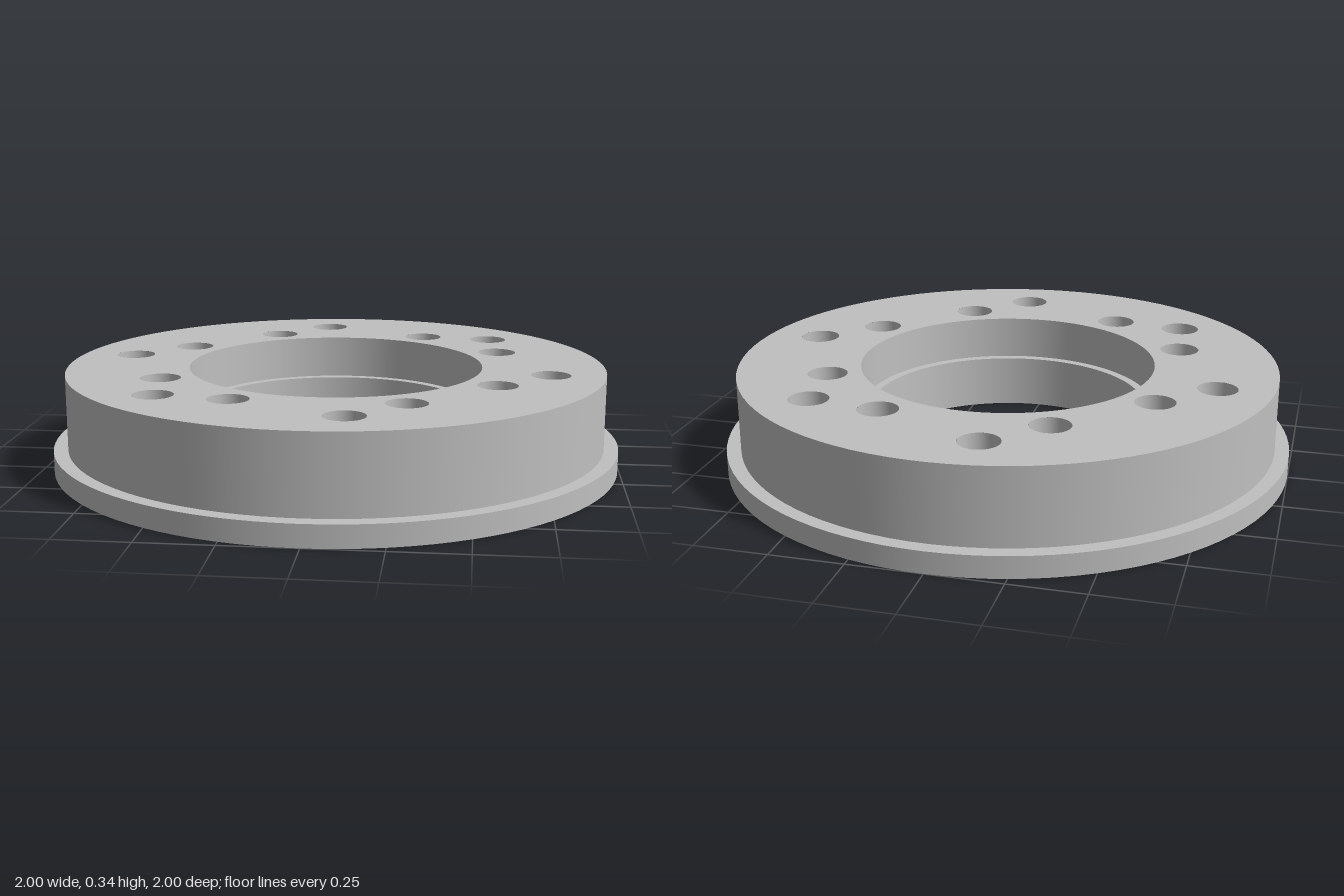
import * as THREE from 'three';
import { mergeGeometries } from 'three/addons/utils/BufferGeometryUtils.js';

const SEG = 96;
const HEIGHT = 0.34, FLANGE_TOP = 0.075, STEP_Y = 0.187, POCKET_Y = 0.19;
const FLANGE_R = 1, BODY_R = 0.95, SEAT_R = 0.519, BORE_R = 0.487;
const HOLE_R = 0.069, POCKET_R = 0.117;

// Revolves each profile segment separately, so corners stay sharp and curves smooth
function revolve(profile, segments = SEG) {
  const parts = [];
  for (let i = 0; i + 1 < profile.length; i++) {
    const pair = [profile[i], profile[i + 1]].map(([r, y]) => new THREE.Vector2(r, y));
    parts.push(new THREE.LatheGeometry(pair, segments));
  }
  return mergeGeometries(parts);
}

// Flat annular face at height y, pierced by the given [x, z, radius] holes
function piercedFace(outer, inner, holes, y, up) {
  const shape = new THREE.Shape().absarc(0, 0, outer, 0, Math.PI * 2);
  for (const [x, z, r] of [[0, 0, inner], ...holes]) {
    shape.holes.push(new THREE.Path().absarc(x, up ? -z : z, r, 0, Math.PI * 2, true));
  }
  return new THREE.ShapeGeometry(shape, SEG / 2)
    .rotateX(up ? -Math.PI / 2 : Math.PI / 2)
    .translate(0, y, 0);
}

export function createModel() {
  const model = new THREE.Group();
  model.name = 'flangedRing';
  const metal = new THREE.MeshStandardMaterial({ color: 0xc0c0c0 });
  metal.name = 'grey metal';

  const add = (name, geometry, x = 0, z = 0) => {
    const mesh = new THREE.Mesh(geometry, metal);
    mesh.name = name;
    mesh.position.set(x, 0, z);
    model.add(mesh);
  };

  // Inner circle of eight plain holes
  const plain = [];
  for (const sx of [-1, 1]) for (const sz of [-1, 1]) {
    plain.push([sx * 0.285, sz * 0.571], [sx * 0.571, sz * 0.285]);
  }
  // Outer circle of six counterbored holes
  const bored = [];
  for (const s of [-1, 1]) {
    bored.push([s * 0.754, s * 0.105], [s * 0.105, s * 0.754], [s * 0.538, -s * 0.538]);
  }
  const sized = (list, r) => list.map(([x, z]) => [x, z, r]);

  // Outer wall with its flange, and the stepped bore
  add('outerWall', revolve([
    [FLANGE_R, 0], [FLANGE_R, FLANGE_TOP], [BODY_R, FLANGE_TOP], [BODY_R, HEIGHT],
  ]));
  add('steppedBore', revolve([
    [SEAT_R, HEIGHT], [SEAT_R, STEP_Y], [BORE_R, STEP_Y], [BORE_R, 0],
  ]));

  // Top and bottom faces
  add('topFace', piercedFace(BODY_R, SEAT_R, sized([...plain, ...bored], HOLE_R), HEIGHT, true));
  add('bottomFace', piercedFace(FLANGE_R, BORE_R,
    [...sized(plain, HOLE_R), ...sized(bored, POCKET_R)], 0, false));

  // Hole linings
  const plainWall = revolve([[HOLE_R, HEIGHT], [HOLE_R, 0]], SEG / 2);
  const boredWall = revolve([
    [HOLE_R, HEIGHT], [HOLE_R, POCKET_Y], [POCKET_R, POCKET_Y], [POCKET_R, 0],
  ], SEG / 2);
  plain.forEach(([x, z], i) => add(`plainHole${i + 1}`, plainWall, x, z));
  bored.forEach(([x, z], i) => add(`counterboredHole${i + 1}`, boredWall, x, z));

  return model;
}
